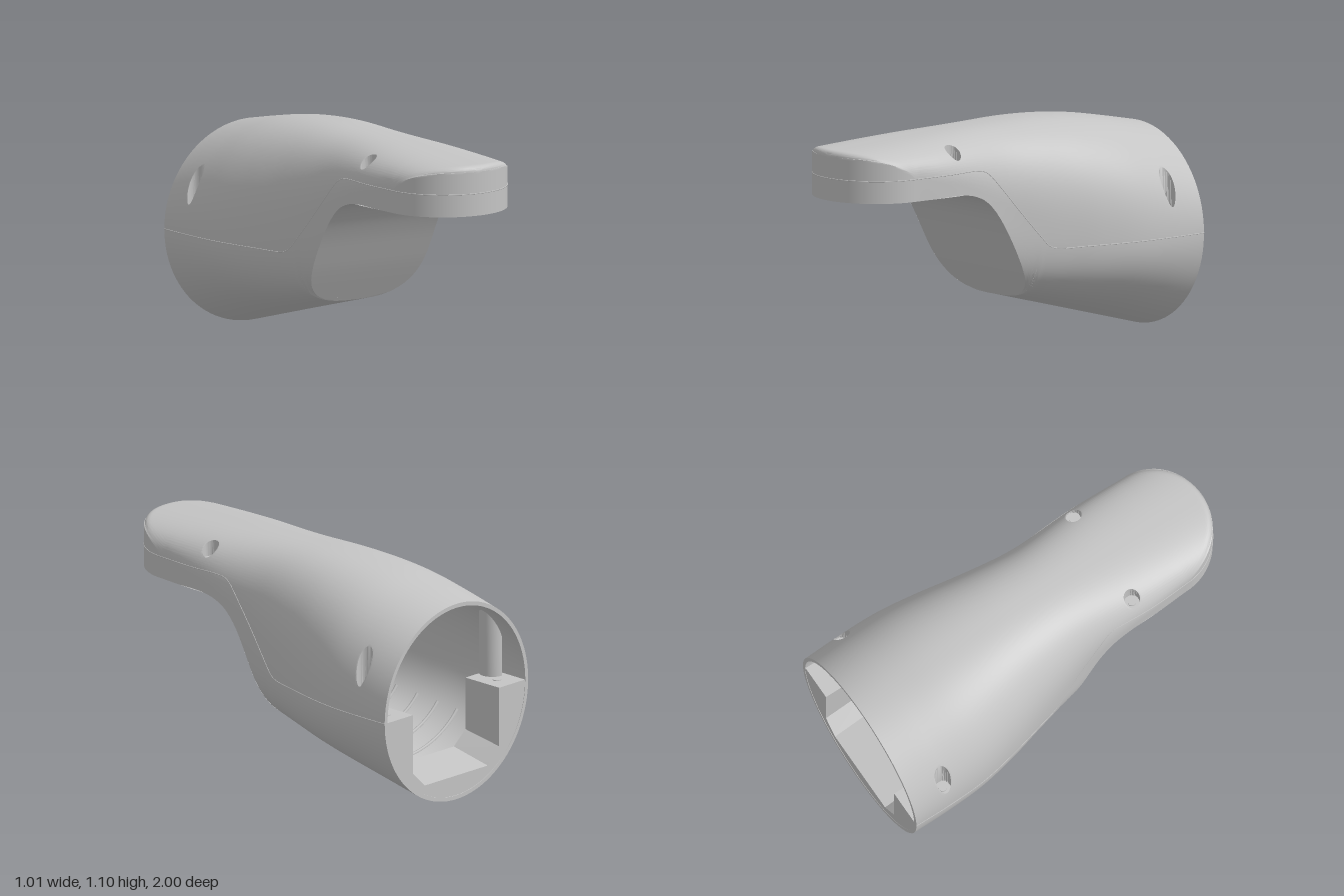
import * as THREE from 'three';
import { toCreasedNormals } from 'three/addons/utils/BufferGeometryUtils.js';

const WALL = 0.02, NU = 80, NL = 24;

// Smooth interpolation through [z, value] pairs
function table(...p) {
  const slope = i => {
    const a = p[Math.max(0, i - 1)], b = p[Math.min(p.length - 1, i + 1)];
    return (b[1] - a[1]) / (b[0] - a[0]);
  };
  return z => {
    if (z <= p[0][0]) return p[0][1];
    if (z >= p[p.length - 1][0]) return p[p.length - 1][1];
    let i = 0;
    while (z > p[i + 1][0]) i++;
    const h = p[i + 1][0] - p[i][0], s = (z - p[i][0]) / h, s2 = s * s, s3 = s2 * s;
    return (2 * s3 - 3 * s2 + 1) * p[i][1] + (s3 - 2 * s2 + s) * h * slope(i)
      + (3 * s2 - 2 * s3) * p[i + 1][1] + (s3 - s2) * h * slope(i + 1);
  };
}

// Housing profile along its length
const bodyWidth = table([-1, 0.5], [-0.8, 0.5], [-0.6, 0.488], [-0.4, 0.45], [-0.2, 0.4], [0, 0.355], [0.1, 0.338], [0.2, 0.33], [0.5, 0.324], [0.7, 0.31]);
const topLine = table([-1, 1], [-0.8, 1.04], [-0.6, 1.075], [-0.4, 1.095], [-0.2, 1.103], [0, 1.1], [0.4, 1.088], [0.8, 1.07], [1, 1.06]);
const midLine = table([-1, 0.5], [-0.6, 0.5], [-0.4, 0.52], [-0.2, 0.57], [0, 0.65], [0.2, 0.76], [0.4, 0.85], [0.6, 0.9], [0.7, 0.92], [1, 0.92]);
const keel = table([-1, 0], [-0.075, 0.24], [0.4, 0.36], [1, 0.5]);
const neckCut = table([-0.075, 0.24], [0.03, 0.42], [0.13, 0.605], [0.2, 0.71], [0.28, 0.78], [0.4, 0.815], [0.6, 0.815], [1, 0.815]);
const upperPower = table([-1, 2], [-0.7, 2.2], [-0.4, 2.4], [0, 2.55], [0.4, 2.6], [1, 2.7]);
const lowerPower = table([-1, 2], [-0.6, 2.1], [-0.3, 2.5], [-0.075, 3], [0.1, 3.5], [1, 3.5]);
const seamLine = table([-1, 0.5], [-0.3, 0.5], [-0.17, 0.5], [-0.11, 0.515], [-0.06, 0.565], [0.2, 0.865], [0.25, 0.91], [0.31, 0.925], [0.5, 0.925], [1, 0.925]);
// Half-width in plan, with the round nose
const width = (z, t) => z <= 0.7 ? bodyWidth(z) - t
  : (0.31 - t) * Math.sqrt(Math.max(0, 1 - ((z - 0.7) / (0.3 - t)) ** 2));
const POCKETS = [{ x: 0.445, y: 0.63, z: -0.81 }, { x: 0.257, y: 0.97, z: 0.42 }];

// Height of the upper surface above a point in plan
function roofY(x, z, t) {
  const n = upperPower(z), c = midLine(z);
  return c + (topLine(z) - t - c) * Math.max(0, 1 - (x / (bodyWidth(z) - t)) ** n) ** (1 / n);
}

// Round screw pocket: snap points to its rim, sink those inside it
function sinkPocket(p, s, t) {
  const dx = p.x - s.x, dz = p.z - s.z, d = Math.hypot(dx, dz), r = 0.04 + t / 2, band = 0.0055;
  if (d > r + band || p.y <= s.y - t || d === 0) return;
  const inside = d < r - band, k = inside ? r / (r - band) : r / d;
  p.z = s.z + dz * k;
  p.x = Math.min(s.x + dx * k, width(p.z, t));
  const y = roofY(p.x, p.z, t);
  p.y = inside ? Math.min(y, s.y - t) : Math.max(y, s.y - t);
}

// Cross-section from the lower right edge, over the top, to the lower left edge
function ring(z, t, dents = true) {
  const full = bodyWidth(z) - t, w = width(z, t), c = midLine(z), down = c - keel(z) - t;
  const cut = (z < -0.075 ? keel(z) : neckCut(z)) + t, n = 2 / upperPower(z), m = lowerPower(z);
  const half = [], reach = Math.asin(Math.min(1, w / full) ** (1 / n));
  for (let k = 0; k <= NU; k++) {
    const a = reach * k / NU, x = full * Math.sin(a) ** n;
    let y = c + (topLine(z) - t - c) * Math.max(0, Math.cos(a)) ** n;
    // Small fillet around the nose edge
    const f = 0.028, gap = Math.max(0, 0.3 - t - Math.hypot(x, z - 0.7));
    if (z > 0.7 && gap < f) y -= (f - Math.sqrt(f * f - (f - gap) ** 2)) * ((z - 0.7) / (0.3 - t)) ** 2;
    half.push(new THREE.Vector3(x, y, z));
  }
  const end = Math.asin(Math.min(1, Math.max(0, (c - cut) / down) ** (m / 2))), low = half[NU].y;
  for (let k = 1; k <= NL; k++) {
    const a = end * k / NL;
    half.push(z > 0.7 ? new THREE.Vector3(w, low + (cut - low) * k / NL, z)
      : new THREE.Vector3(w * Math.max(0, Math.cos(a)) ** (2 / m), c - down * Math.sin(a) ** (2 / m), z));
  }
  if (dents) for (const p of half) for (const s of POCKETS) sinkPocket(p, s, t);
  return half.map(p => new THREE.Vector3(-p.x, p.y, p.z)).reverse().concat(half.slice(1));
}

// Half-width of the outer skin at a given height
function sideX(y, z) {
  const c = midLine(z), n = y > c ? upperPower(z) : lowerPower(z);
  const r = y > c ? (y - c) / (topLine(z) - c) : (c - y) / (c - keel(z));
  return Math.min(width(z, 0), bodyWidth(z) * Math.max(0, 1 - r ** n) ** (1 / n));
}

function loft(rings) {
  const pos = [], idx = [], m = rings[0].length;
  rings.forEach(r => r.forEach(p => pos.push(p.x, p.y, p.z)));
  for (let i = 0; i < rings.length - 1; i++) for (let j = 0; j < m - 1; j++) {
    const a = i * m + j, c = a + m;
    idx.push(a, a + 1, c, a + 1, c + 1, c);
  }
  const g = new THREE.BufferGeometry();
  g.setAttribute('position', new THREE.Float32BufferAttribute(pos, 3));
  g.setIndex(idx);
  return toCreasedNormals(g, 0.6);
}

// Stations along the length, denser at the pockets and the nose
function stations(fine, t) {
  const zs = [-0.075];
  for (let i = 0; i <= 68; i++) zs.push(-1 + i * 0.025);
  for (let i = 1; i <= 16; i++) zs.push(0.7 + (0.3 - t) * Math.sin(i / 16 * Math.PI / 2));
  for (const s of POCKETS) for (let d = -0.048; d <= 0.049; d += fine) zs.push(s.z + d);
  return zs.sort((a, b) => a - b).filter((z, i) => i === 0 || z - zs[i - 1] > 1e-4);
}

function reshape(geometry, rule) {
  const p = geometry.attributes.position, v = new THREE.Vector3();
  for (let i = 0; i < p.count; i++) {
    rule(v.fromBufferAttribute(p, i));
    p.setXYZ(i, v.x, v.y, v.z);
  }
  geometry.computeVertexNormals();
  return geometry;
}

export function createModel() {
  const group = new THREE.Group();
  const grey = new THREE.MeshStandardMaterial({ color: 0xc4c4c4, side: THREE.DoubleSide });
  grey.name = 'housing grey';
  const add = (name, geometry) => {
    const mesh = new THREE.Mesh(geometry, grey);
    mesh.name = name;
    group.add(mesh);
    return mesh;
  };

  // Outer skin, back rim and inner skin in one sweep
  const outer = stations(0.004, 0).reverse().map(z => ring(z, 0));
  const inner = stations(0.008, WALL).map(z => ring(z, WALL));
  add('housingShell', loft(outer.concat(inner)));

  // Sloping underside of the neck, outside and inside
  for (const t of [0, WALL]) {
    const rows = [];
    for (let i = 0; i <= 40; i++) {
      const r = ring(-0.075 + 0.475 * i / 40, t, false);
      rows.push([r[0], r[r.length - 1]]);
    }
    add(t ? 'neckLining' : 'neckUnderside', loft(rows));
  }

  // Flat handle floor with its round opening
  for (const [t, y] of [[0, 0.815], [WALL, 0.865]]) {
    const edge = [];
    for (let i = 0; i <= 12; i++) edge.push(0.4 + 0.3 * i / 12);
    for (let i = 1; i <= 16; i++) edge.push(0.7 + (0.3 - t) * Math.sin(i / 16 * Math.PI / 2));
    const pts = edge.map(z => new THREE.Vector2(ring(z, t, false).at(-1).x, z));
    const shape = new THREE.Shape(pts.concat(pts.slice(0, -1).reverse().map(p => new THREE.Vector2(-p.x, p.y))));
    shape.holes.push(new THREE.Path().absarc(0, 0.68, 0.215, 0, Math.PI * 2, true));
    add(t ? 'handleFloorInside' : 'handleFloor', new THREE.ShapeGeometry(shape, 32).rotateX(Math.PI / 2).translate(0, y, 0));
  }
  add('openingWall', new THREE.CylinderGeometry(0.215, 0.215, 0.05, 64, 1, true).translate(0, 0.84, 0.68));

  // U-shaped mounting bridge in the back opening, following the keel
  const u = new THREE.Shape();
  u.absarc(0, 0.5, 0.49, Math.PI, Math.PI * 2, false);
  for (const [x, y] of [[0.3, 0.5], [0.3, 0.2], [0.22, 0.12], [-0.22, 0.12], [-0.3, 0.2], [-0.3, 0.5]]) u.lineTo(x, y);
  const bridge = new THREE.ExtrudeGeometry(u, { depth: 0.23, bevelEnabled: false, curveSegments: 48 }).translate(0, 0, -0.998);
  add('mountingBridge', toCreasedNormals(reshape(bridge, v => {
    v.y = 0.5 - (0.5 - v.y) * (0.5 - keel(v.z)) / 0.5;
  }), 0.5));

  for (const s of [-1, 1]) {
    const side = s > 0 ? 'left' : 'right';
    // Screw column rising from the bridge to the roof
    const column = new THREE.CylinderGeometry(0.065, 0.065, 1, 24, 1, true, Math.PI, Math.PI);
    column.translate(0.445, 0, -0.81);
    add(side + 'ScrewColumn', reshape(column, v => {
      v.y = v.y < 0 ? 0.5 : roofY(v.x, v.z, 0.01);
    })).scale.x = s;
    // Screw hole in the bridge and screw heads in the pockets
    add(side + 'BridgeHole', new THREE.CylinderGeometry(0.022, 0.022, 0.006, 24).translate(s * 0.385, 0.5, -0.9));
    for (const p of POCKETS)
      add(side + 'ScrewHead', new THREE.CylinderGeometry(0.02, 0.02, 0.008, 24).translate(s * p.x, p.y + 0.003, p.z));
  }

  // Curved stiffening ribs on the roof and floor of the interior
  const rib = (name, pts) => add(name, new THREE.TubeGeometry(new THREE.CatmullRomCurve3(pts), 32, 0.009, 6));
  for (let i = 0; i < 4; i++) {
    const roof = ring(-0.66 + i * 0.13, WALL, false), floor = ring(-0.62 + i * 0.12, WALL, false);
    const mid = NU + NL;
    rib('roofRib', roof.slice(mid - 48, mid + 49).filter((p, k) => k % 8 === 0));
    rib('floorRib', floor.slice(-16).concat(floor.slice(1, 16)));
  }

  // Fine parting line between the upper and lower shells
  const seam = [];
  for (const s of [-1, 1]) {
    const zs = [];
    for (let i = 0; i < 68; i++) zs.push(-1 + i * 0.025);
    for (let i = 0; i <= 16; i++) zs.push(0.7 + 0.3 * Math.sin(i / 16 * Math.PI / 2));
    const pts = zs.map(z => new THREE.Vector3(s * sideX(seamLine(z), z), seamLine(z), z));
    seam.push(...(s < 0 ? pts : pts.reverse().slice(1)));
  }
  add('partingLine', new THREE.TubeGeometry(new THREE.CatmullRomCurve3(seam), 260, 0.0025, 5));

  return group;
}
